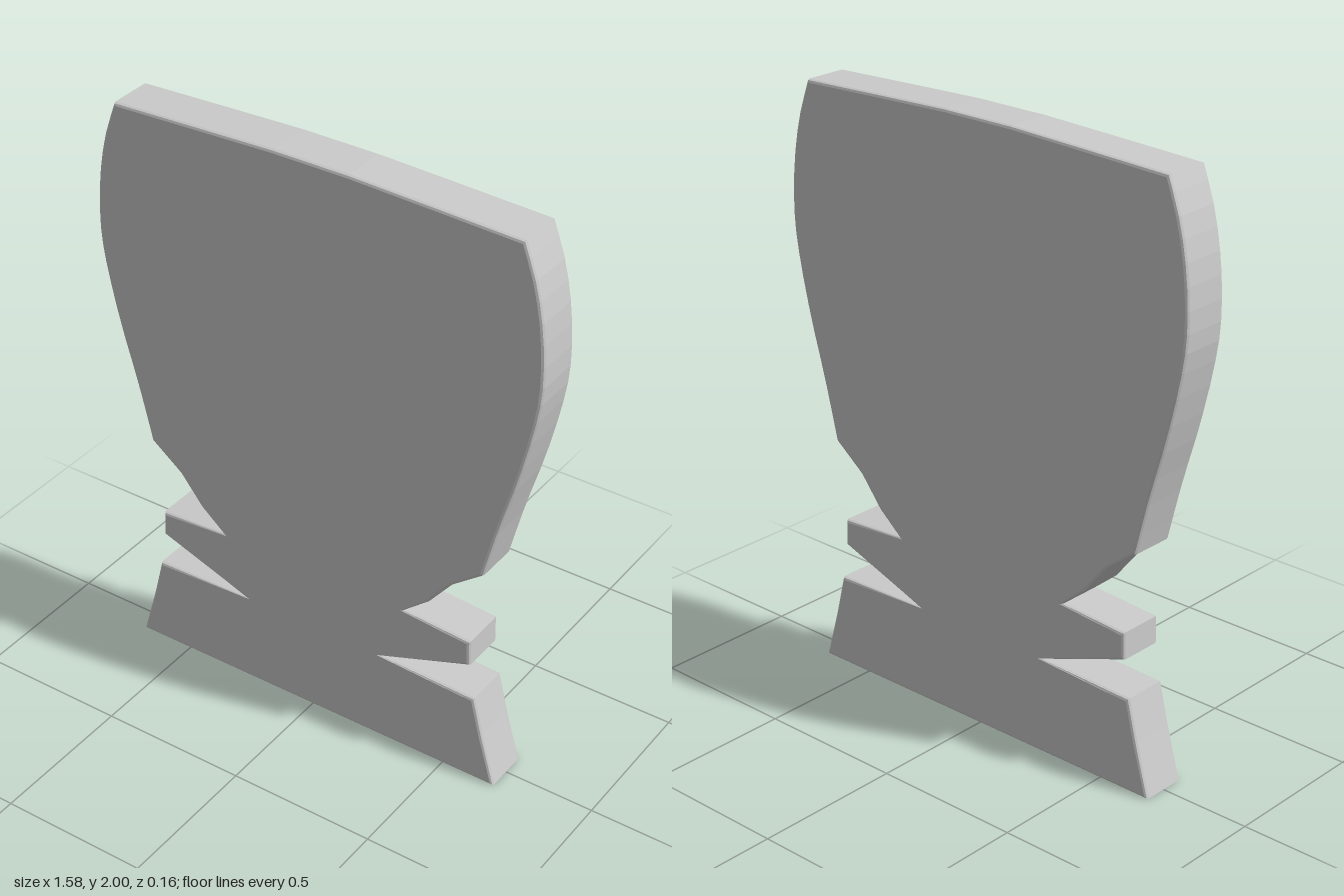
import * as THREE from 'three';

const THICKNESS = 0.16;
const BEVEL = 0.01;

export function createModel() {
  const group = new THREE.Group();
  group.name = 'cutoutPlaque';

  // Bulging side of the upper panel
  const side = new THREE.SplineCurve([
    [0.62, 0.8], [0.67, 1.0], [0.727, 1.2], [0.772, 1.4],
    [0.788, 1.54], [0.78, 1.7], [0.752, 1.85], [0.707, 1.98],
  ].map(([x, y]) => new THREE.Vector2(x, y))).getPoints(16);

  // Half outline from the foot up to the top centre
  const half = [
    [0.69, 0], [0.64, 0.18], [0.607, 0.315], // flared base
    [0.26, 0.325], [0.587, 0.44], [0.585, 0.53], // lower notch and side tab
    [0.345, 0.545], [0.43, 0.615], [0.51, 0.715], // upper notch and shoulder
  ].map(([x, y]) => new THREE.Vector2(x, y))
    .concat(side, [new THREE.Vector2(0.4, 1.991), new THREE.Vector2(0.13, 2)]);

  // Mirror the half to close the outline
  const mirrored = half.map((p) => new THREE.Vector2(-p.x, p.y)).reverse();
  const outline = new THREE.Shape([...half, ...mirrored]);

  // Flat slab with a thin bevel kept inside the outline
  const geometry = new THREE.ExtrudeGeometry(outline, {
    depth: THICKNESS - 2 * BEVEL,
    bevelThickness: BEVEL,
    bevelSize: BEVEL,
    bevelOffset: -BEVEL,
    bevelSegments: 2,
  });
  geometry.translate(0, 0, BEVEL - THICKNESS / 2);

  const slab = new THREE.Mesh(geometry, new THREE.MeshStandardMaterial({ color: 0xcccccc }));
  slab.name = 'plaqueSlab';
  group.add(slab);
  return group;
}
